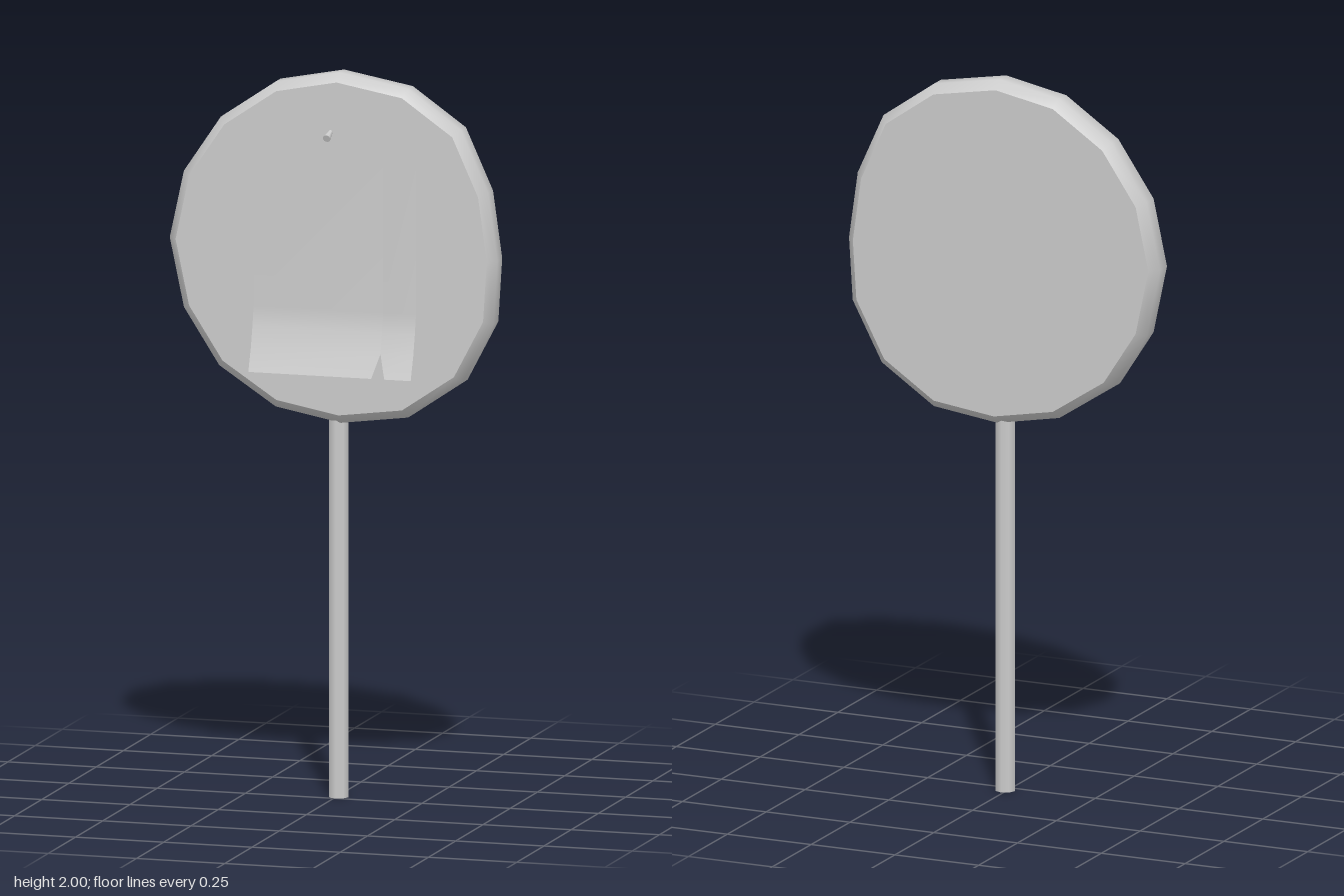
import * as THREE from 'three';

const material = new THREE.MeshStandardMaterial({ color: 0xcccccc });
const sheetMaterial = new THREE.MeshStandardMaterial({ color: 0xcccccc, side: THREE.DoubleSide });

// Hand-cut outline of the board, clockwise from the top
const OUTLINE = [
  [0.015, 2], [0.21, 1.965], [0.36, 1.86], [0.437, 1.69],
  [0.463, 1.505], [0.452, 1.33], [0.365, 1.165], [0.21, 1.06],
  [0.02, 1.035], [-0.165, 1.07], [-0.325, 1.175], [-0.425, 1.33],
  [-0.465, 1.52], [-0.425, 1.705], [-0.32, 1.86], [-0.165, 1.965],
];
const CENTRE_Y = 1.517;

function addMesh(group, name, geometry, mat = material) {
  const mesh = new THREE.Mesh(geometry, mat);
  mesh.name = name;
  group.add(mesh);
  return mesh;
}

// Cross-sections [scale, z] of the board, from back to front
function boardGeometry() {
  const sections = [[0.95, -0.072], [1, -0.047], [1, -0.002], [0.95, 0.02]];
  const n = OUTLINE.length;
  const positions = [];
  const index = [];
  const addRing = ([scale, z]) => {
    for (const [x, y] of OUTLINE) positions.push(x * scale, CENTRE_Y + (y - CENTRE_Y) * scale, z);
  };

  // Bevelled rim
  sections.forEach(addRing);
  for (let s = 0; s < sections.length - 1; s++) {
    for (let i = 0; i < n; i++) {
      const a = s * n + i, b = s * n + (i + 1) % n;
      index.push(a, a + n, b, b, a + n, b + n);
    }
  }

  // Flat faces with their own vertices, so their edges stay crisp
  for (const [section, front] of [[sections[0], false], [sections[3], true]]) {
    const start = positions.length / 3;
    addRing(section);
    positions.push(0, CENTRE_Y, section[1]);
    for (let i = 0; i < n; i++) {
      const a = start + i, b = start + (i + 1) % n;
      if (front) index.push(start + n, b, a);
      else index.push(start + n, a, b);
    }
  }

  const geometry = new THREE.BufferGeometry();
  geometry.setAttribute('position', new THREE.Float32BufferAttribute(positions, 3));
  geometry.setIndex(index);
  geometry.computeVertexNormals();
  return geometry;
}

// One side of the sheet, split at the torn notch
function sheetGeometry(outerX, notchX) {
  // Rows [y, z] from the top down, curling forward at the bottom
  const rows = [[1.88, 0.022], [1.35, 0.022], [1.295, 0.033], [1.24, 0.047], [1.175, 0.071]];
  const tipX = 0.147;
  const geometry = new THREE.PlaneGeometry(1, 1, 1, rows.length - 1);
  const p = geometry.attributes.position;
  rows.forEach(([y, z], r) => {
    const innerX = r === rows.length - 1 ? notchX : tipX;
    p.setXYZ(r * 2, Math.min(outerX, innerX), y, z);
    p.setXYZ(r * 2 + 1, Math.max(outerX, innerX), y, z);
  });
  geometry.computeVertexNormals();
  return geometry;
}

export function createModel() {
  const group = new THREE.Group();
  group.name = 'signPost';

  addMesh(group, 'board', boardGeometry());

  const pole = addMesh(group, 'pole', new THREE.CylinderGeometry(0.028, 0.028, 1.05, 8));
  pole.position.set(0.006, 0.525, -0.026);

  // Paper notice pinned to the board
  const notice = new THREE.Group();
  notice.name = 'notice';
  addMesh(notice, 'noticeLeft', sheetGeometry(0.24, 0.165), sheetMaterial);
  addMesh(notice, 'noticeRight', sheetGeometry(-0.22, 0.128), sheetMaterial);
  group.add(notice);

  // Nail, leaning slightly downward, wide end outward
  const tip = new THREE.Vector3(-0.002, 1.842, 0.012);
  const head = new THREE.Vector3(-0.004, 1.826, 0.052);
  const nail = addMesh(group, 'nail', new THREE.CylinderGeometry(0.011, 0.005, tip.distanceTo(head), 8));
  nail.position.copy(tip).lerp(head, 0.5);
  nail.quaternion.setFromUnitVectors(new THREE.Vector3(0, 1, 0), head.clone().sub(tip).normalize());

  return group;
}
